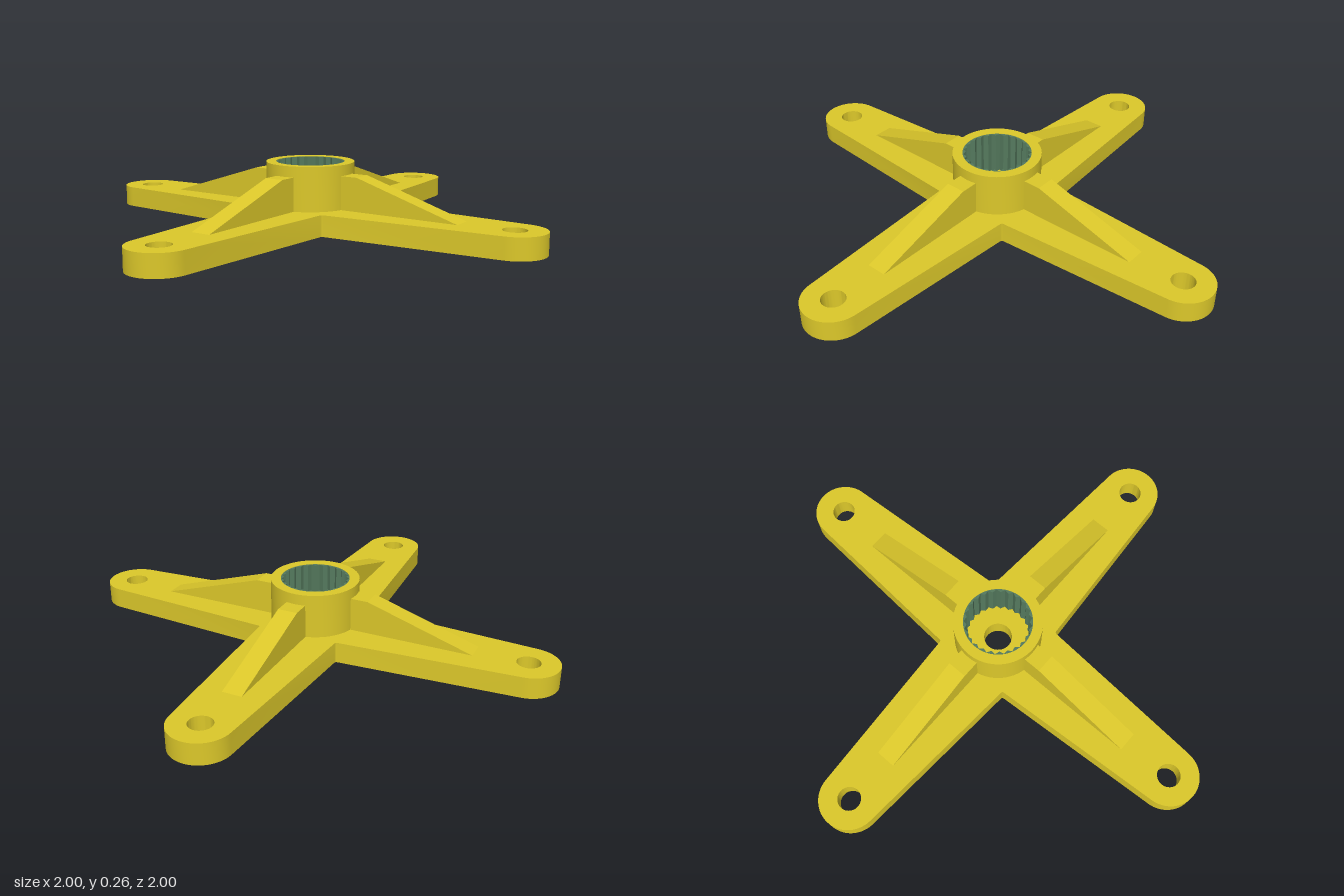
import * as THREE from 'three';
import { toCreasedNormals } from 'three/addons/utils/BufferGeometryUtils.js';

const yellow = new THREE.MeshStandardMaterial({ color: 0xdcc82a });
const green = new THREE.MeshStandardMaterial({ color: 0x557a5e });

const PLATE = 0.085, HUB_TOP = 0.263, TIP = 0.88, TEETH = 25;

function circleHole(x, y, r) {
  const hole = new THREE.Path();
  hole.absarc(x, y, r, 0, Math.PI * 2, true);
  return hole;
}

// Extrude a plan shape upward from height y0 to y1.
function slab(name, shape, y0, y1, material, crease = 0.6) {
  const geo = new THREE.ExtrudeGeometry(shape, { depth: y1 - y0, bevelEnabled: false, curveSegments: 32 });
  geo.rotateX(-Math.PI / 2).translate(0, y0, 0);
  const mesh = new THREE.Mesh(toCreasedNormals(geo, crease), material);
  mesh.name = name;
  return mesh;
}

// Four tapered arms with rounded ends, as one outline.
function crossShape() {
  const pts = [];
  const r = 0.12, tilt = 0.066;
  for (let arm = 0; arm < 4; arm++) {
    const turn = arm * Math.PI / 2;
    const add = (x, y) => pts.push(new THREE.Vector2(x, y).rotateAround(new THREE.Vector2(), turn));
    add(0.174, -0.166);
    for (let i = 0; i <= 32; i++) {
      const a = (i / 32 * 2 - 1) * (Math.PI / 2 - tilt);
      add(TIP + r * Math.cos(a), r * Math.sin(a));
    }
    add(0.174, 0.166);
    add(0.168, 0.168);
  }
  const shape = new THREE.Shape(pts);
  shape.holes.push(circleHole(0, 0, 0.057));
  for (const [x, y] of [[1, 0], [0, 1], [-1, 0], [0, -1]]) {
    shape.holes.push(circleHole(x * TIP, y * TIP, 0.046));
  }
  return shape;
}

function ringShape(outer, hole) {
  const shape = new THREE.Shape();
  shape.absarc(0, 0, outer, 0, Math.PI * 2, false);
  shape.holes.push(hole);
  return shape;
}

export function createModel() {
  const model = new THREE.Group();
  model.name = 'crossArm';

  model.add(slab('armPlate', crossShape(), 0, PLATE, yellow));
  model.add(slab('hub', ringShape(0.178, circleHole(0, 0, 0.138)), PLATE, HUB_TOP, yellow));

  // Toothed lining of the hub socket
  const toothPts = [];
  for (let i = 0; i < TEETH * 2; i++) {
    const a = -i * Math.PI / TEETH, r = i % 2 ? 0.125 : 0.136;
    toothPts.push(new THREE.Vector2(r * Math.cos(a), r * Math.sin(a)));
  }
  const spline = ringShape(0.138, new THREE.Path(toothPts));
  model.add(slab('socketTeeth', spline, PLATE, HUB_TOP - 0.001, green, 0.3));

  // Sloping stiffening ribs
  const ribShape = new THREE.Shape([
    [0.155, PLATE - 0.01], [0.70, PLATE - 0.01], [0.675, PLATE], [0.245, 0.22], [0.155, 0.22],
  ].map(p => new THREE.Vector2(...p)));
  const ribGeo = new THREE.ExtrudeGeometry(ribShape, { depth: 0.08, bevelEnabled: false });
  ribGeo.translate(0, 0, -0.04);
  for (let i = 0; i < 4; i++) {
    const rib = new THREE.Mesh(ribGeo, yellow);
    rib.name = 'rib' + (i + 1);
    rib.rotation.y = i * Math.PI / 2;
    model.add(rib);
  }
  return model;
}
